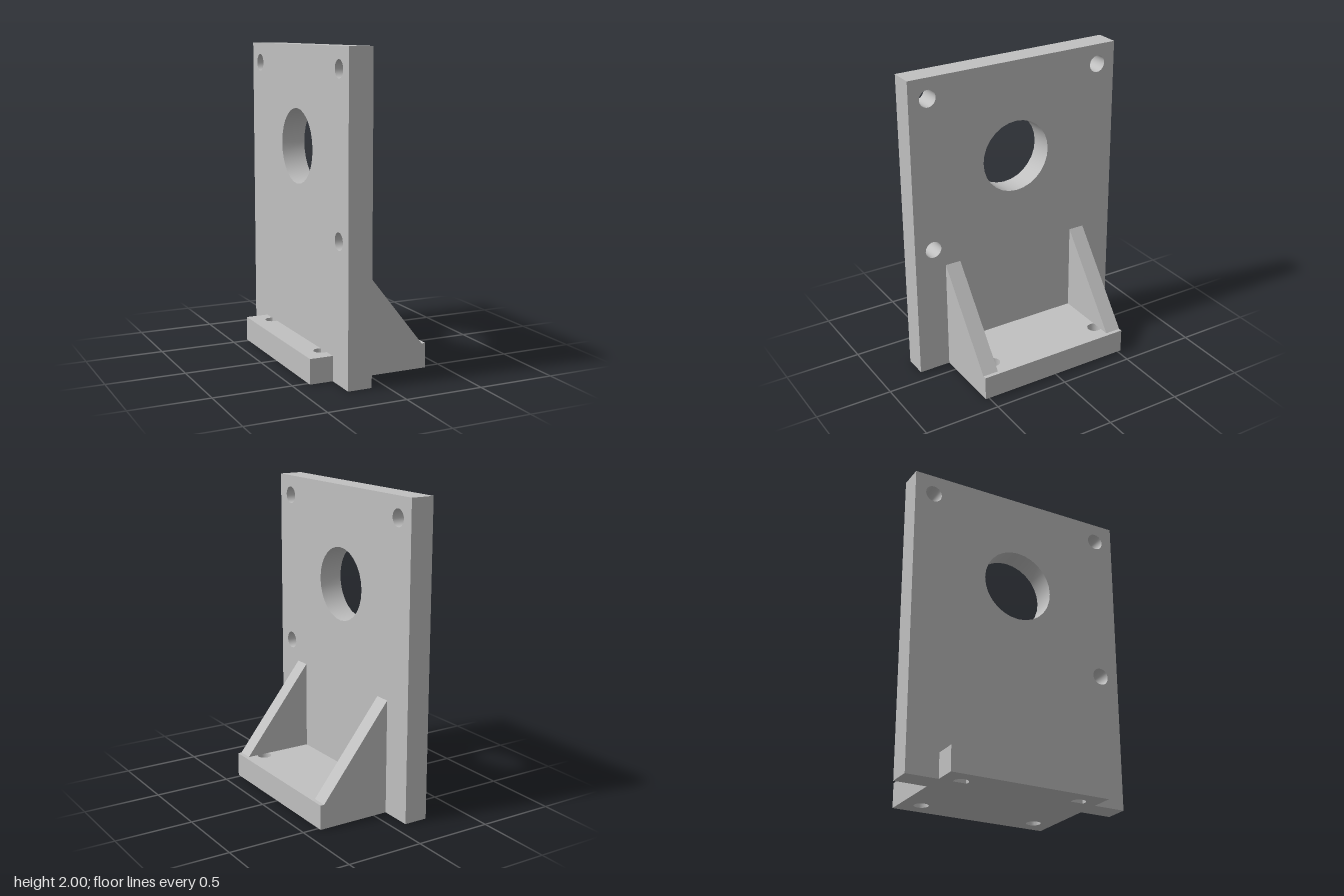
import * as THREE from 'three';
import { toCreasedNormals } from 'three/addons/utils/BufferGeometryUtils.js';

// Flat panel from an outline, with round holes given as [x, y, radius]
function panel(points, holes, depth) {
  const shape = new THREE.Shape(points.map(([x, y]) => new THREE.Vector2(x, y)));
  for (const [x, y, r] of holes) {
    shape.holes.push(new THREE.Path().absarc(x, y, r, 0, Math.PI * 2, true));
  }
  const geo = new THREE.ExtrudeGeometry(shape, { depth, bevelEnabled: false, curveSegments: 14 });
  return toCreasedNormals(geo, Math.PI / 6);
}

const rect = (x0, y0, x1, y1) => [[x0, y0], [x1, y0], [x1, y1], [x0, y1]];

export function createModel() {
  const group = new THREE.Group();
  const metal = new THREE.MeshStandardMaterial({ color: 0xc0c0c0 });
  metal.name = 'light grey metal';

  const add = (name, geo) => {
    const mesh = new THREE.Mesh(geo, metal);
    mesh.name = name;
    group.add(mesh);
  };

  // Upright plate: a large bore and three screw holes (drawn with x = -z)
  const plate = panel(rect(-0.735, 0, 0.735, 2), [
    [0, 1.37, 0.237],
    [-0.607, 1.87, 0.055],
    [0.607, 1.87, 0.055],
    [-0.607, 0.87, 0.055],
  ], 0.155);
  plate.rotateY(Math.PI / 2).translate(-0.245, 0, 0);
  add('uprightPlate', plate);

  // Base with four mounting holes
  const baseHoles = [];
  for (const x of [-0.264, 0.262]) for (const z of [-0.394, 0.394]) baseHoles.push([x, z, 0.046]);
  const base = panel(rect(-0.395, -0.525, 0.392, 0.525), baseHoles, 0.158);
  base.rotateX(-Math.PI / 2);
  add('basePlate', base);

  // Triangular ribs bracing the plate against the base
  for (const [name, z] of [['leftRib', 0.42], ['rightRib', -0.525]]) {
    const rib = panel([[-0.09, 0.158], [0.367, 0.158], [-0.09, 0.738]], [], 0.105);
    rib.translate(0, 0, z);
    add(name, rib);
  }

  return group;
}
